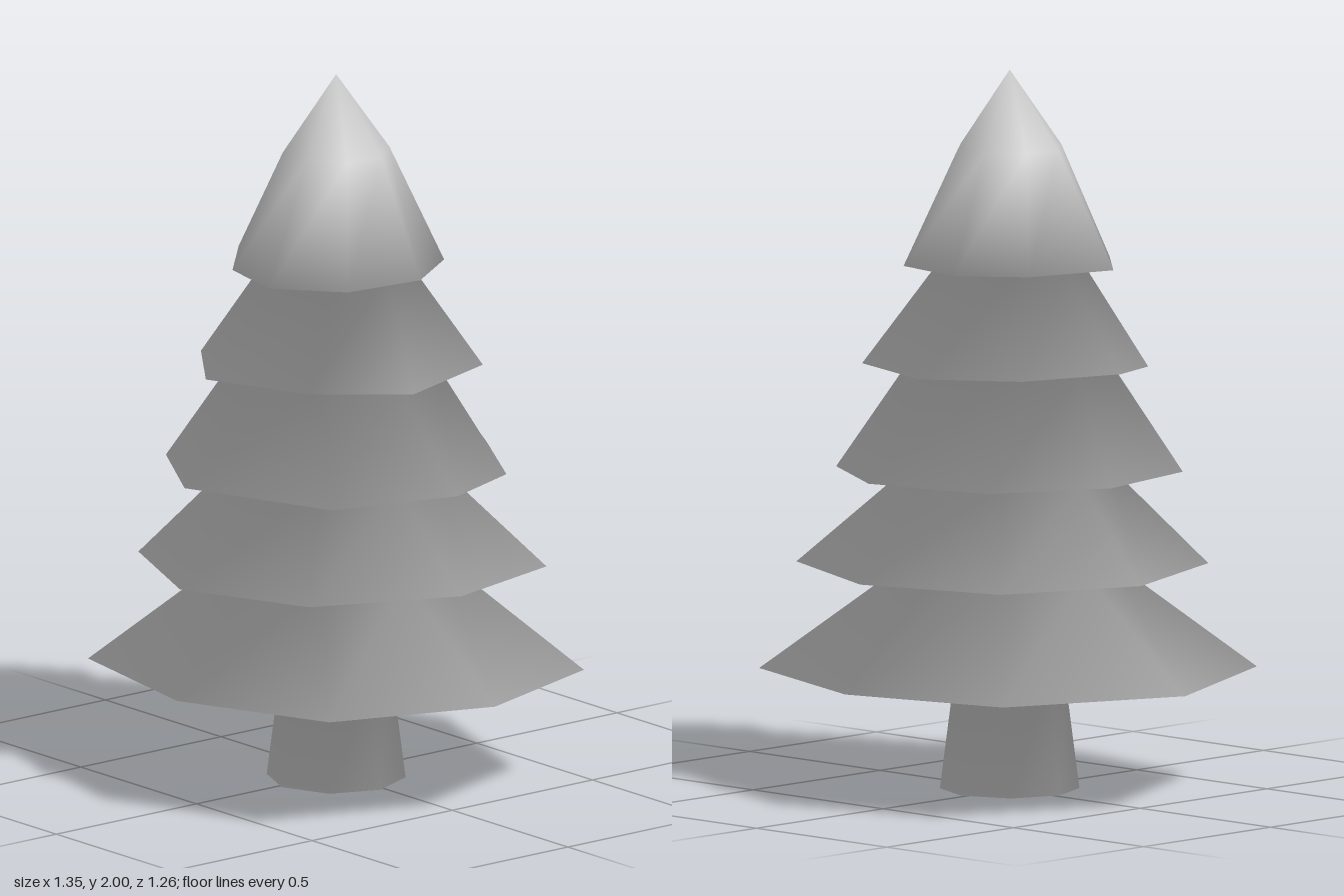
import * as THREE from 'three';
import { mergeVertices } from 'three/addons/utils/BufferGeometryUtils.js';

const SIDES = 8;

// Regular ring around the slightly offset trunk axis, as [x, z] corners
function ring(radius, twist = 0) {
  return Array.from({ length: SIDES }, (_, i) => {
    const a = Math.PI + (i / SIDES) * Math.PI * 2 - twist;
    return [0.016 + radius * Math.cos(a), 0.015 + radius * Math.sin(a)];
  });
}

// Uneven branch rims, from the right side round the back
const rims = [
  [[-0.673, 0], [-0.46, -0.5], [0.02, -0.63], [0.53, -0.445], [0.673, -0.01], [0.51, 0.447], [0.07, 0.627], [-0.43, 0.532]],
  [[-0.533, -0.03], [-0.37, -0.415], [0.04, -0.55], [0.465, -0.365], [0.558, 0.015], [0.38, 0.412], [0.01, 0.567], [-0.37, 0.402]],
  [[-0.432, -0.045], [-0.265, -0.36], [0.105, -0.45], [0.395, -0.28], [0.488, -0.03], [0.383, 0.332], [-0.055, 0.497], [-0.36, 0.312]],
  [[-0.347, 0.08], [-0.25, -0.21], [-0.015, -0.375], [0.305, -0.27], [0.424, 0.075], [0.242, 0.295], [-0.06, 0.417], [-0.302, 0.235]],
  [[-0.29, 0.11], [-0.215, -0.145], [-0.05, -0.275], [0.18, -0.235], [0.307, -0.045], [0.28, 0.19], [0.11, 0.332], [-0.105, 0.285]],
];
const heights = [0.33, 0.625, 0.888, 1.183, 1.463];
const necks = [0.15, 0.29, 0.285, 0.28, 0.2];
const neckTwists = [0, 0, -0.05, -0.05, 0.1];

// Smooth normals, each face weighted by its angle at the corner
function smoothByAngle(geometry) {
  const position = geometry.attributes.position;
  const index = geometry.index.array;
  const corners = Array.from({ length: position.count }, (_, i) => new THREE.Vector3().fromBufferAttribute(position, i));
  const normals = corners.map(() => new THREE.Vector3());
  const faceNormal = new THREE.Vector3();
  for (let t = 0; t < index.length; t += 3) {
    const face = [index[t], index[t + 1], index[t + 2]];
    if (new Set(face).size < 3) continue;
    new THREE.Triangle(...face.map((i) => corners[i])).getNormal(faceNormal);
    face.forEach((v, k) => {
      const u = corners[face[(k + 1) % 3]].clone().sub(corners[v]);
      const w = corners[face[(k + 2) % 3]].clone().sub(corners[v]);
      normals[v].addScaledVector(faceNormal, u.angleTo(w));
    });
  }
  const flat = normals.flatMap((n) => n.normalize().toArray());
  geometry.setAttribute('normal', new THREE.Float32BufferAttribute(flat, 3));
}

export function createModel() {
  // All cross-sections from the ground to the tip
  const levels = [[0, ring(0)], [0, ring(0.192)]];
  rims.forEach((rim, i) => levels.push([heights[i], ring(necks[i], neckTwists[i])], [heights[i], rim]));
  levels.push([1.785, ring(0.15, 0.3)], [2, ring(0)]);

  const positions = [];
  for (const [y, points] of levels) for (const [x, z] of points) positions.push(x, y, z);

  const faces = [];
  for (let l = 0; l < levels.length - 1; l++) {
    for (let i = 0; i < SIDES; i++) {
      const j = (i + 1) % SIDES;
      const a = l * SIDES + i, b = l * SIDES + j;
      faces.push(a, a + SIDES, b, b, a + SIDES, b + SIDES);
    }
  }

  // One skin, so the shading runs smoothly over every tier
  let skin = new THREE.BufferGeometry();
  skin.setAttribute('position', new THREE.Float32BufferAttribute(positions, 3));
  skin.setIndex(faces);
  skin = mergeVertices(skin);
  smoothByAngle(skin);
  const index = Array.from(skin.index.array);

  const tree = new THREE.Group();
  tree.name = 'tree';
  const material = new THREE.MeshStandardMaterial({ color: 0xcccccc });

  // Cut the bands between two levels out of the skin as a named part
  function addPart(name, from, to) {
    const part = [];
    for (let t = from * SIDES * 6; t < to * SIDES * 6; t += 3) {
      const face = index.slice(t, t + 3);
      if (new Set(face).size === 3) part.push(...face);
    }
    const geometry = skin.clone();
    geometry.setIndex(part);
    const mesh = new THREE.Mesh(geometry.toNonIndexed(), material);
    mesh.name = name;
    tree.add(mesh);
  }

  // Tapered trunk with its base
  addPart('trunk', 0, 2);
  // Branch tiers, each an underside and a sloping skirt
  for (let i = 0; i < 4; i++) addPart(`branchTier${i + 1}`, 2 + i * 2, 4 + i * 2);
  // Pointed crown
  addPart('crown', 10, levels.length - 1);

  return tree;
}
